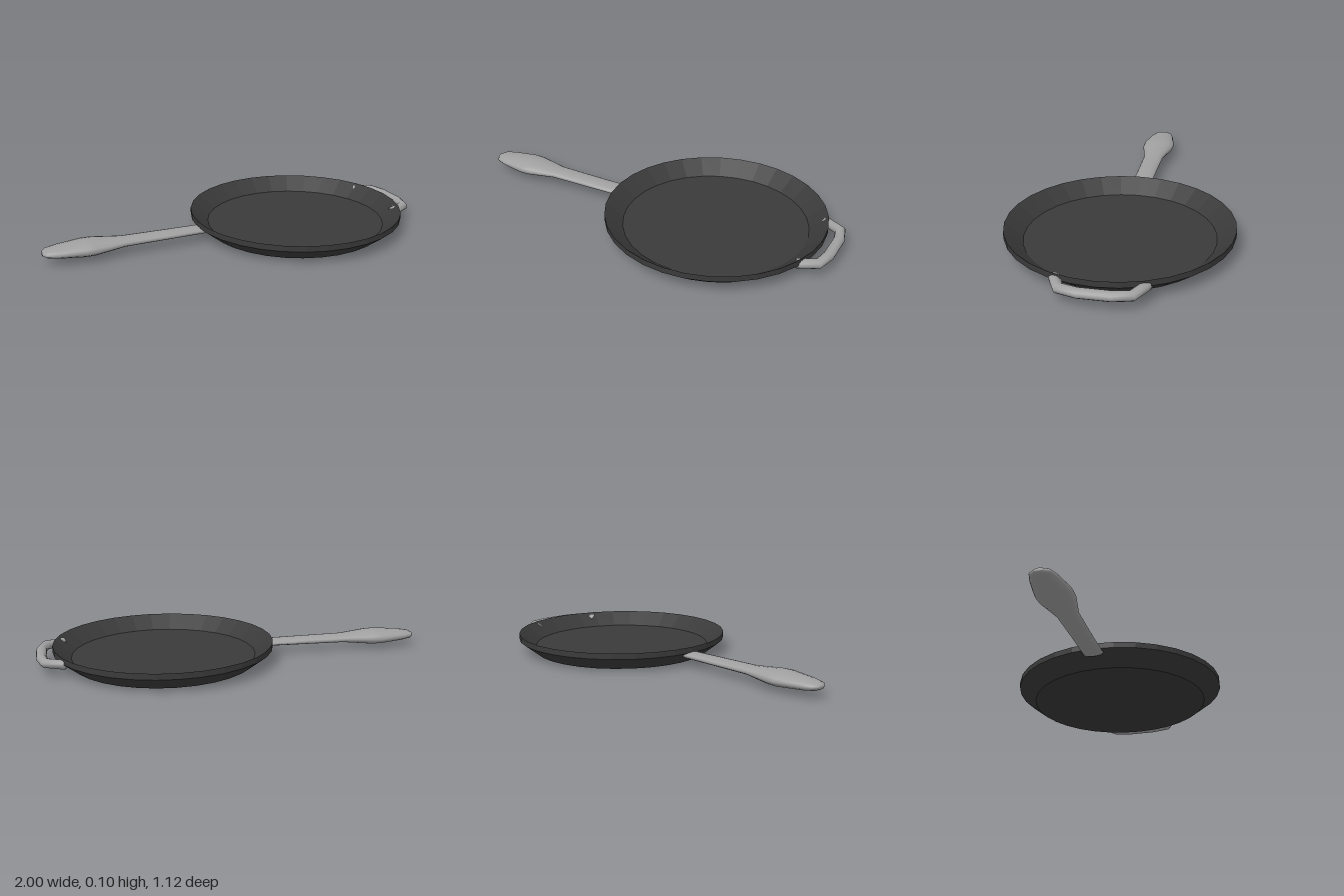
import * as THREE from 'three';

// Closed tube along a flat path; each station is [x, z, halfWidth, halfHeight]
function loft(stations, y, sides = 16) {
  const pos = [], idx = [], n = stations.length;
  stations.forEach(([x, z, w, h], i) => {
    const a = stations[Math.max(i - 1, 0)], b = stations[Math.min(i + 1, n - 1)];
    const t = new THREE.Vector2(b[0] - a[0], b[1] - a[1]).normalize();
    for (let j = 0; j < sides; j++) {
      const u = (j / sides) * Math.PI * 2, c = Math.cos(u) * w;
      pos.push(x + t.y * c, y + Math.sin(u) * h, z - t.x * c);
    }
  });
  for (let i = 0; i < n - 1; i++) {
    for (let j = 0; j < sides; j++) {
      const a = i * sides + j, b = i * sides + (j + 1) % sides;
      idx.push(a, b, a + sides, b, b + sides, a + sides);
    }
  }
  // End caps
  const last = (n - 1) * sides;
  for (let j = 1; j < sides - 1; j++) {
    idx.push(0, j + 1, j, last, last + j, last + j + 1);
  }
  const g = new THREE.BufferGeometry();
  g.setAttribute('position', new THREE.Float32BufferAttribute(pos, 3));
  g.setIndex(idx);
  g.computeVertexNormals();
  return g;
}

export function createModel() {
  const group = new THREE.Group();
  const iron = new THREE.MeshStandardMaterial({ color: 0x3a3a3a, flatShading: true });
  iron.name = 'dark iron';
  const steel = new THREE.MeshStandardMaterial({ color: 0xa0a0a0 });
  steel.name = 'grey steel';
  const add = (name, geometry, material) => {
    const mesh = new THREE.Mesh(geometry, material);
    mesh.name = name;
    group.add(mesh);
    return mesh;
  };

  // Shallow pan: base, sloped outer wall, upright lip, sloped inner wall, floor
  const profile = [[0, 0], [0.47, 0], [0.56, 0.07], [0.56, 0.1], [0.47, 0.03], [0, 0.03]];
  const pan = add('pan', new THREE.LatheGeometry(
    profile.map(([r, y]) => new THREE.Vector2(r, y)), 32), iron);
  pan.position.x = 0.36;

  // Long handle with a swollen grip
  add('longHandle', loft([
    [-1, 0, 0.022, 0.010], [-0.98, 0, 0.05, 0.019], [-0.93, 0, 0.067, 0.027],
    [-0.8, 0, 0.09, 0.038], [-0.75, 0, 0.088, 0.037],
    [-0.6, 0, 0.055, 0.022], [-0.4, 0, 0.052, 0.02], [-0.175, 0, 0.051, 0.017],
  ], 0.057), steel);

  // Short loop handle on the opposite side
  const w = 0.027, h = 0.023;
  add('loopHandle', loft([
    [0.86, -0.22, w, h], [0.953, -0.172, w, h], [0.973, -0.09, w, h],
    [0.973, 0.06, w, h], [0.951, 0.147, w, h], [0.86, 0.19, w, h],
  ], 0.067, 12), steel);

  return group;
}
